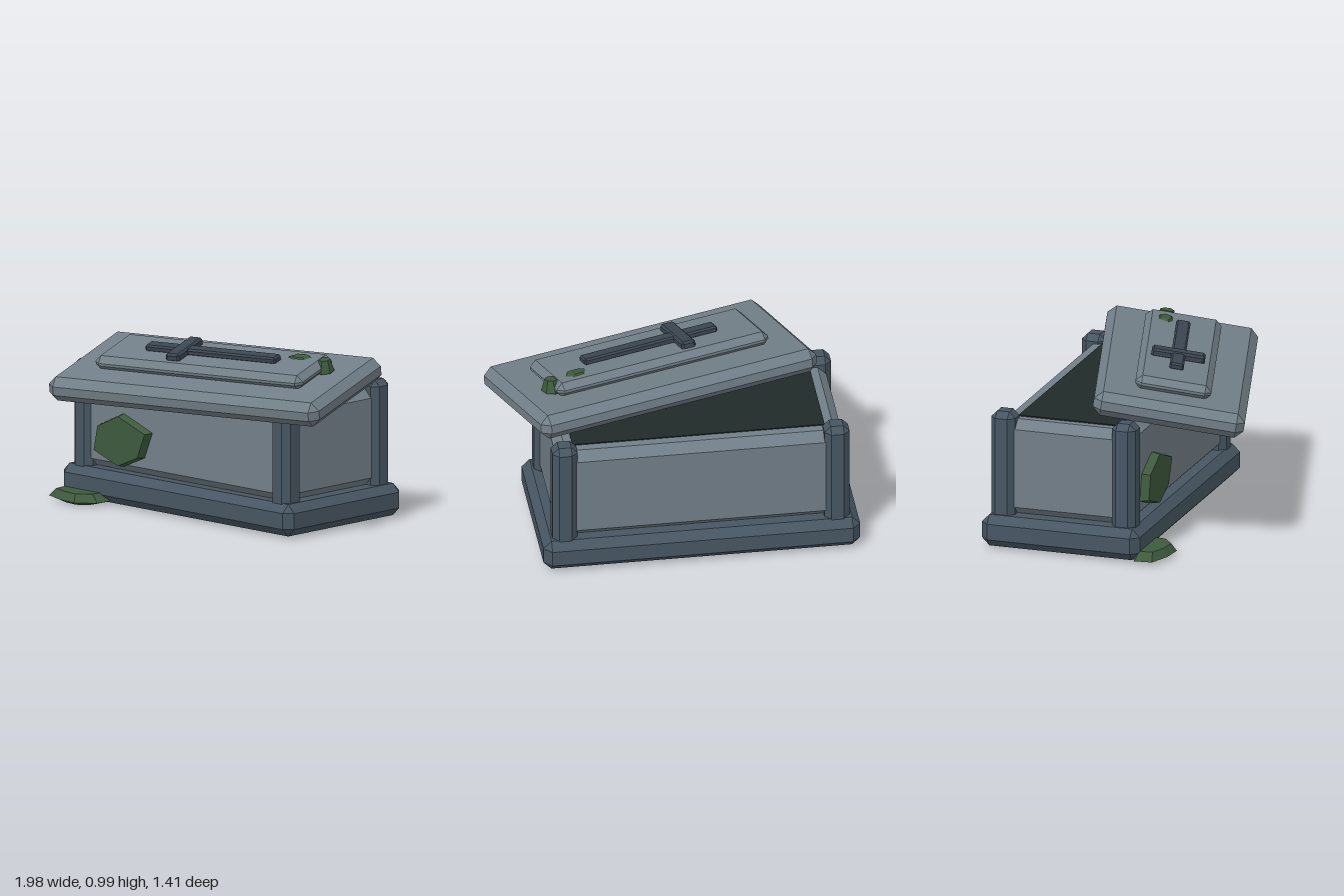
import * as THREE from 'three';
import { ConvexGeometry } from 'three/addons/geometries/ConvexGeometry.js';

const mat = (name, color) => {
  const m = new THREE.MeshStandardMaterial({ color });
  m.name = name;
  return m;
};

// Box with all edges and corners cut at 45 degrees
function chamferBox(w, h, d, c) {
  const pts = [];
  for (const x of [-1, 1]) for (const y of [-1, 1]) for (const z of [-1, 1]) {
    const [a, b, e] = [w / 2, h / 2, d / 2];
    pts.push(
      new THREE.Vector3(x * a, y * (b - c), z * (e - c)),
      new THREE.Vector3(x * (a - c), y * b, z * (e - c)),
      new THREE.Vector3(x * (a - c), y * (b - c), z * e));
  }
  return new ConvexGeometry(pts);
}

// Irregular flat clump: an outline in x/y rising to a smaller cap along +z
function clump(outline, depth, capScale) {
  const n = outline.length;
  const cx = outline.reduce((s, p) => s + p[0], 0) / n;
  const cy = outline.reduce((s, p) => s + p[1], 0) / n;
  const pts = [];
  for (const [x, y] of outline) {
    pts.push(new THREE.Vector3(x, y, 0));
    pts.push(new THREE.Vector3(cx + (x - cx) * capScale, cy + (y - cy) * capScale, depth));
  }
  return new ConvexGeometry(pts);
}

export function createModel() {
  const stone = mat('stone', 0x727f88);
  const darkStone = mat('dark stone', 0x475662);
  const crossStone = mat('cross stone', 0x3b4651);
  const hollow = mat('dark hollow', 0x1f2a28);
  const moss = mat('moss', 0x3e5a3d);

  const model = new THREE.Group();
  model.name = 'stoneTomb';
  const add = (parent, name, geometry, material, x = 0, y = 0, z = 0) => {
    const mesh = new THREE.Mesh(geometry, material);
    mesh.name = name;
    mesh.position.set(x, y, z);
    parent.add(mesh);
    return mesh;
  };

  // Plinth, chest and its dark opening
  const cx = -0.115, cz = -0.255;
  add(model, 'plinth', chamferBox(1.77, 0.18, 0.925, 0.045), darkStone, cx, 0.1, cz);
  add(model, 'chest', chamferBox(1.6, 0.55, 0.79, 0.05), stone, cx, 0.457, cz);
  add(model, 'opening', new THREE.BoxGeometry(1.41, 0.04, 0.59), hollow, cx, 0.718, cz);

  // Corner posts
  for (const sx of [-1, 1]) for (const sz of [-1, 1]) {
    add(model, 'cornerPost', chamferBox(0.14, 0.64, 0.14, 0.035), darkStone,
      cx + sx * 0.76, 0.46, cz + sz * 0.353);
  }

  // Lid, pushed aside and leaning on the chest
  const lid = new THREE.Group();
  lid.name = 'lid';
  lid.position.set(0.065, 0.79, 0.06);
  lid.rotation.set(0.16, 0.29, 0, 'YXZ');
  model.add(lid);
  add(lid, 'lidSlab', chamferBox(1.68, 0.14, 0.845, 0.045), stone);
  add(lid, 'raisedPanel', chamferBox(1.29, 0.085, 0.425, 0.035), stone, 0, 0.1, 0);
  add(lid, 'crossLongBar', chamferBox(0.81, 0.04, 0.08, 0.01), crossStone, 0, 0.155, 0);
  add(lid, 'crossShortBar', chamferBox(0.085, 0.05, 0.3, 0.012), crossStone, -0.18, 0.157, 0);

  // Moss on the raised panel: a thin patch on top and a clump on its end
  const topMoss = add(lid, 'panelTopMoss', clump(
    [[-0.07, -0.02], [-0.04, 0.035], [0.03, 0.04], [0.065, 0.01], [0.04, -0.035], [-0.03, -0.04]],
    0.009, 0.75), moss, 0.493, 0.1415, -0.1);
  topMoss.rotation.x = -Math.PI / 2;
  const endMoss = add(lid, 'panelEndMoss', clump(
    [[-0.05, -0.03], [-0.045, 0.05], [0, 0.065], [0.04, 0.03], [0.045, -0.03], [0, -0.06]],
    0.07, 0.6), moss, 0.645, 0.075, -0.095);
  endMoss.rotation.x = -Math.PI / 2;

  // Moss on the front wall
  add(model, 'wallMoss', clump(
    [[-0.76, 0.29], [-0.73, 0.44], [-0.56, 0.52], [-0.34, 0.44], [-0.4, 0.29], [-0.56, 0.22]],
    0.05, 0.93), moss, 0, 0, 0.138);

  // Moss on the ground by the front corner
  const groundMoss = add(model, 'groundMoss', clump(
    [[-1, -0.19], [-0.99, -0.29], [-0.87, -0.335], [-0.74, -0.35], [-0.64, -0.27], [-0.63, -0.16], [-0.8, -0.1]],
    0.045, 0.75), moss, 0, 0.02, 0);
  groundMoss.rotation.x = -Math.PI / 2;
  const mossUnder = add(model, 'groundMossUnderside', clump(
    [[-1, 0.19], [-0.99, 0.29], [-0.87, 0.335], [-0.74, 0.35], [-0.64, 0.27], [-0.63, 0.16], [-0.8, 0.1]],
    0.02, 0.6), moss, 0, 0.02, 0);
  mossUnder.rotation.x = Math.PI / 2;

  return model;
}
